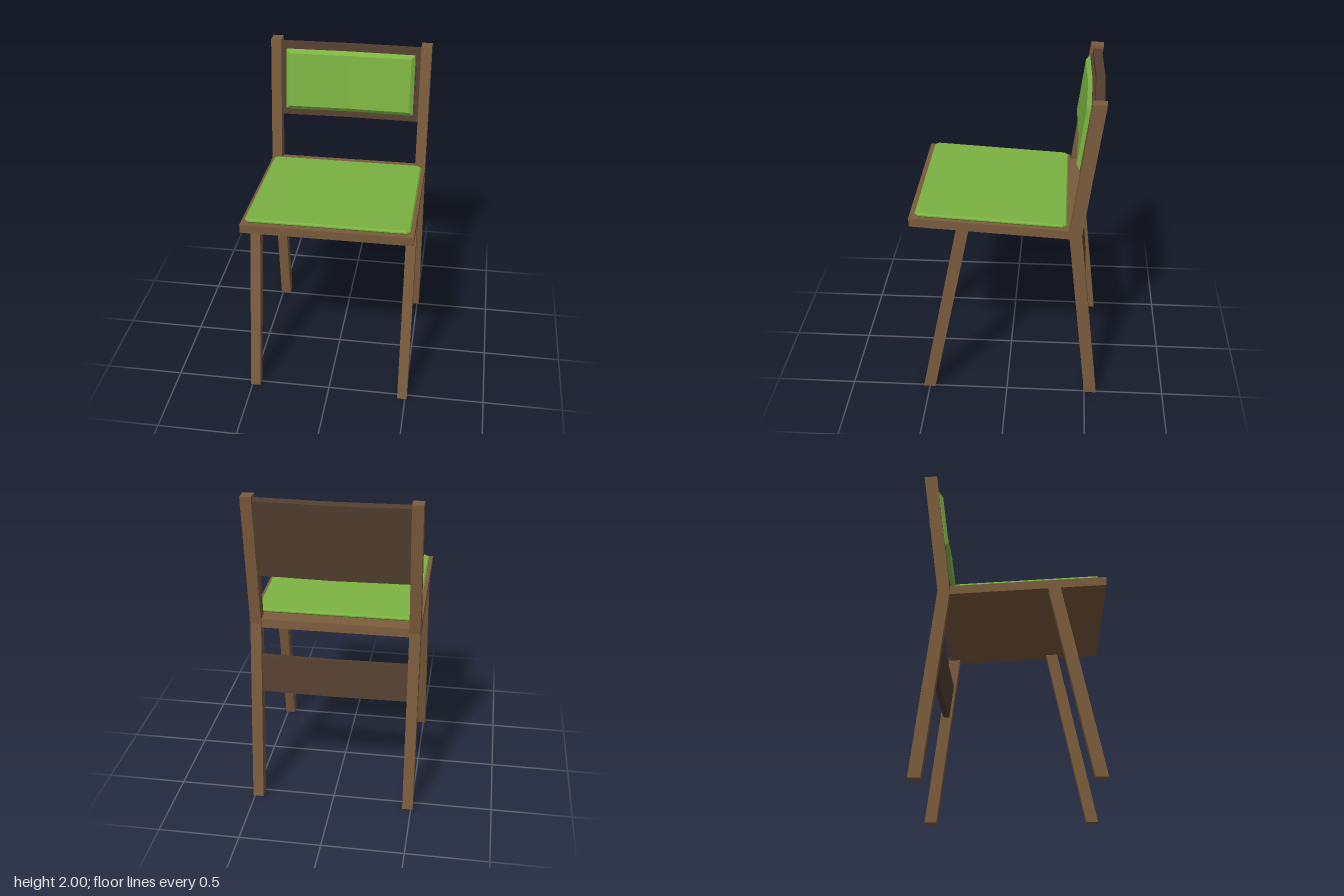
import * as THREE from 'three';

const material = (name, color) => {
  const m = new THREE.MeshStandardMaterial({ color });
  m.name = name;
  return m;
};

// Side outline given as [z, y] points, extruded to a width centred on x
function sideProfile(points, width) {
  const shape = new THREE.Shape(points.map(([z, y]) => new THREE.Vector2(z, y)));
  const g = new THREE.ExtrudeGeometry(shape, { depth: width, bevelEnabled: false });
  g.translate(0, 0, -width / 2);
  g.rotateY(-Math.PI / 2);
  return g;
}

// Slab folded back along its vertical centre line, with an optional bevel on the front edge
function foldedSlab(width, height, depth, fold, bevel = 0) {
  const g = new THREE.BoxGeometry(width, height, depth, 2, 1, 2).toNonIndexed();
  const p = g.attributes.position;
  for (let i = 0; i < p.count; i++) {
    let x = p.getX(i), y = p.getY(i), z = p.getZ(i);
    const middle = Math.abs(x) < 1e-4;
    if (bevel && z > depth / 4) {
      x -= Math.sign(middle ? 0 : x) * bevel;
      y -= Math.sign(y) * bevel;
    }
    if (middle) z -= fold;
    p.setXYZ(i, x, y, z);
  }
  g.computeVertexNormals();
  return g;
}

export function createModel() {
  const wood = material('wood', 0x7b5c3c);
  const darkWood = material('dark wood', 0x543f30);
  const green = material('green fabric', 0x7cb342);

  const chair = new THREE.Group();
  chair.name = 'chair';
  const add = (name, geometry, mat, parent = chair) => {
    const mesh = new THREE.Mesh(geometry, mat);
    mesh.name = name;
    parent.add(mesh);
    return mesh;
  };

  // Legs: the rear ones bend at the seat and carry on as back posts
  const rearLeg = sideProfile([[-0.575, 0], [-0.5, 0], [-0.37, 1.17], [-0.475, 2], [-0.555, 2], [-0.445, 1.17]], 0.066);
  const frontLeg = sideProfile([[0.465, 0], [0.54, 0], [0.298, 1.19], [0.222, 1.19]], 0.062);
  for (const [side, s] of [['left', 1], ['right', -1]]) {
    add(side + 'RearLeg', rearLeg, wood).position.x = s * 0.479;
    add(side + 'FrontLeg', frontLeg, wood).position.x = s * 0.481;
  }

  // Seat board, narrowed between the posts at the rear
  add('seatBoard', sideProfile([[-0.372, 1.146], [0.575, 1.2], [0.578, 1.255], [-0.369, 1.201]], 1.024), wood);
  add('seatRearEdge', sideProfile([[-0.44, 1.142], [-0.372, 1.146], [-0.369, 1.201], [-0.437, 1.197]], 0.894), wood);

  // Seat cushion with clipped corners and a small bevel
  const w = 0.482, l = 0.442, c = 0.018;
  const outline = new THREE.Shape([
    [-w + c, -l], [w - c, -l], [w, -l + c], [w, l - c],
    [w - c, l], [-w + c, l], [-w, l - c], [-w, -l + c],
  ].map(([x, y]) => new THREE.Vector2(x, y)));
  const pad = new THREE.ExtrudeGeometry(outline, {
    depth: 0.008, bevelEnabled: true, bevelThickness: 0.009, bevelSize: 0.008, bevelSegments: 1,
  });
  pad.rotateX(-Math.PI / 2);
  const seatCushion = add('seatCushion', pad, green);
  seatCushion.position.set(0, 1.236, 0.096);
  seatCushion.rotation.x = -0.057;

  // Backrest: folded panel, thin backing board and bevelled cushion
  const backrest = new THREE.Group();
  backrest.name = 'backrest';
  backrest.position.set(0, 1.74, -0.486);
  backrest.rotation.x = -0.13;
  chair.add(backrest);
  add('backPanel', foldedSlab(0.9, 0.478, 0.054, 0.011), darkWood, backrest);
  add('backCushionBoard', foldedSlab(0.84, 0.41, 0.024, 0.011), darkWood, backrest).position.set(0, 0.004, 0.031);
  add('backCushion', foldedSlab(0.826, 0.396, 0.04, 0.011, 0.024), green, backrest).position.set(0, 0.004, 0.046);

  // Folded stretcher between the rear legs
  const stretcher = add('rearStretcher', foldedSlab(0.91, 0.232, 0.04, 0.011), darkWood);
  stretcher.position.set(0, 0.837, -0.443);
  stretcher.rotation.x = 0.11;

  return chair;
}
